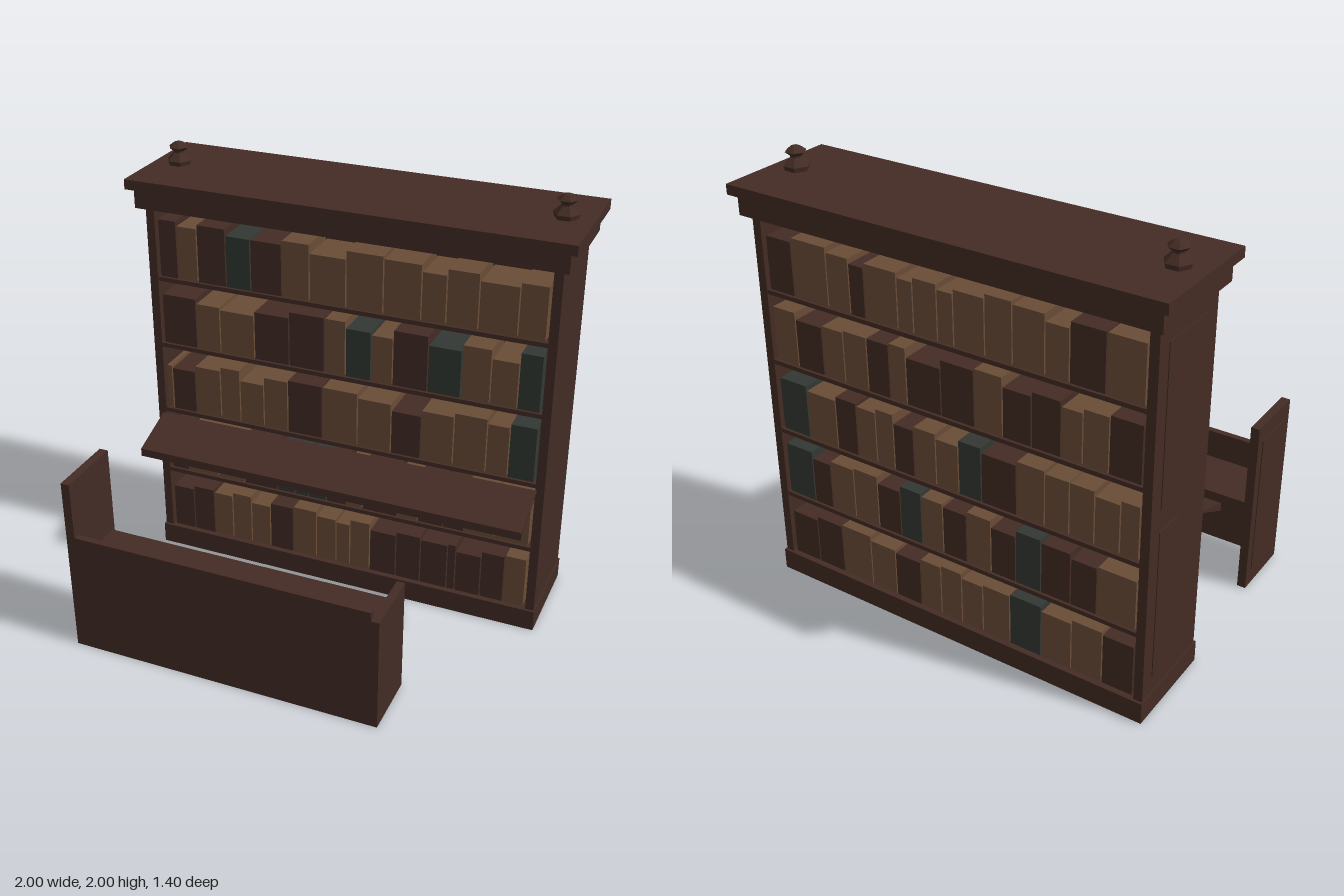
import * as THREE from 'three';

const material = (name, color) => {
  const m = new THREE.MeshStandardMaterial({ color });
  m.name = name;
  return m;
};

export function createModel() {
  const model = new THREE.Group();
  model.name = 'bookcaseAndDesk';
  const wood = material('dark wood', 0x432c24);
  const tan = material('tan book', 0x694c36);
  const green = material('green book', 0x323833);
  const bookColors = { d: wood, l: tan, g: green };

  // Box given by its limits on each axis
  const box = (parent, name, [x0, x1], [y0, y1], [z0, z1], mat = wood) => {
    const mesh = new THREE.Mesh(new THREE.BoxGeometry(x1 - x0, y1 - y0, z1 - z0), mat);
    mesh.position.set((x0 + x1) / 2, (y0 + y1) / 2, (z0 + z1) / 2);
    mesh.name = name;
    parent.add(mesh);
    return mesh;
  };

  // Bookcase, centred on its own middle plane
  const bookcase = new THREE.Group();
  bookcase.name = 'bookcase';
  bookcase.position.z = -0.412;
  model.add(bookcase);

  for (const s of [-1, 1]) {
    const span = (a, b) => (s > 0 ? [a, b] : [-b, -a]);
    box(bookcase, 'sidePanel', span(0.9, 0.94), [0.1, 1.76], [-0.22, 0.22]);
    box(bookcase, 'plinthSide', span(0.9, 0.945), [0, 0.1], [-0.232, 0.232]);
    box(bookcase, 'plinthRail', [-0.9, 0.9], [0, 0.1], span(0.2, 0.232));
  }
  box(bookcase, 'backboard', [-0.9, 0.9], [0.1, 1.76], [-0.01, 0.01]);
  box(bookcase, 'bottomBoard', [-0.9, 0.9], [0.08, 0.1], [-0.2, 0.2]);
  for (const y of [0.41, 0.74, 1.08, 1.41]) {
    box(bookcase, 'shelf', [-0.9, 0.9], [y, y + 0.02], [-0.218, 0.218]);
  }
  box(bookcase, 'crown', [-0.97, 0.97], [1.76, 1.85], [-0.26, 0.26]);
  box(bookcase, 'topBoard', [-1, 1], [1.85, 1.895], [-0.287, 0.287]);

  // Raised panels on the right side
  for (const [y0, y1] of [[0.18, 0.88], [0.98, 1.68]]) {
    box(bookcase, 'raisedPanel', [-0.944, -0.94], [y0, y1], [-0.15, 0.15]);
  }

  // Six-sided finials
  const profile = [[0.05, 1.89], [0.057, 1.915], [0.025, 1.948], [0.025, 1.955],
    [0.046, 1.973], [0.02, 1.993], [0, 2]].map(([r, y]) => new THREE.Vector2(r, y));
  const finialGeo = new THREE.LatheGeometry(profile, 6).toNonIndexed();
  finialGeo.computeVertexNormals();
  for (const x of [-0.88, 0.88]) {
    const finial = new THREE.Mesh(finialGeo, wood);
    finial.name = 'finial';
    finial.position.x = x;
    finial.rotation.y = Math.PI / 2;
    bookcase.add(finial);
  }

  // Books: colour letter, width and height in hundredths, from left to right
  const shelfTops = [1.43, 1.1, 0.76, 0.43, 0.1];
  const frontRows = [
    'd9:27 l10:25 d14:27 g12:24 d15:24 l13:26 l17:22 l17:26 l17:25 l11:22 l14:25 l17:22 l12:24',
    'd17:24 l12:22 l17:21 d17:23 d17:26 l10:26 g12:23 l10:22 d16:26 g15:22 l13:25 l12:21 g10:26',
    'l3:22 d12:21 l13:24 l10:26 l12:21 l12:25 d17:26 l17:26 l16:24 d14:21 l15:24 l15:26 l10:24 g12:26',
    'd9:23 l16:22 l14:24 d17:25 g9:22 g7:24 g9:23 d10:25 l8:22 d17:24 l10:22 d12:25 d10:23 l14:24 l16:23',
    'd11:22 d11:24 l10:23 l10:25 l10:22 d12:24 l12:25 l10:23 l7:22 l10:25 d13:22 d12:24 d13:23 d4:24 d12:21 d11:24 l10:25',
  ];
  const backRows = [
    'd14:24 l19:26 l12:24 d8:22 l17:24 l8:22 l12:24 l8:22 l15:24 l13:26 l15:25 l11:22 d16:25 l17:25',
    'l13:25 d15:22 l12:23 l13:24 d12:24 l9:25 d18:21 d17:25 l14:26 d14:22 d14:24 l10:22 l12:24 d15:25',
    'g16:25 l17:23 d12:25 l11:24 l10:26 d11:22 l12:24 l12:22 g12:25 d18:23 l14:25 l12:24 l12:24 l12:22 l9:24',
    'g16:25 d11:22 l14:24 l14:25 d13:22 g12:25 l12:24 d13:23 l13:25 d13:22 g13:25 d15:24 d13:22 l19:23',
    'd16:22 d16:24 l18:25 l15:23 d15:22 l12:24 l12:25 l12:23 l15:24 g17:25 l16:23 l16:25 d16:24',
  ];
  const addBooks = (rows, name, turn) => {
    const books = new THREE.Group();
    books.name = name;
    books.rotation.y = turn;
    bookcase.add(books);
    rows.forEach((row, i) => {
      const list = row.split(' ').map((t) => [t[0], ...t.slice(1).split(':').map(Number)]);
      const scale = 1.78 / list.reduce((sum, b) => sum + b[1], 0);
      let x = -0.89;
      for (const [color, w, h] of list) {
        const next = x + w * scale;
        box(books, 'book', [x, next - 0.006], [shelfTops[i], shelfTops[i] + h / 100],
          [0.01, 0.205], bookColors[color]);
        x = next;
      }
    });
  };
  addBooks(frontRows, 'frontBooks', 0);
  addBooks(backRows, 'backBooks', Math.PI);

  // Sloping wedge-shaped reading ledge
  const wedge = new THREE.Shape([[-0.18, 0.738], [-0.18, 0.734], [0.045, 0.62], [0.045, 0.658]]
    .map(([z, y]) => new THREE.Vector2(-z, y)));
  const ledge = new THREE.Mesh(
    new THREE.ExtrudeGeometry(wedge, { depth: 1.82, bevelEnabled: false }), wood);
  ledge.name = 'readingLedge';
  ledge.rotation.y = Math.PI / 2;
  ledge.position.x = -0.91;
  model.add(ledge);

  // Free-standing desk
  const desk = new THREE.Group();
  desk.name = 'desk';
  model.add(desk);
  box(desk, 'tallEndPanel', [-0.91, -0.87], [0, 0.84], [0.385, 0.7]);
  box(desk, 'tallEndRaisedPanel', [-0.914, -0.91], [0.08, 0.76], [0.43, 0.655]);
  box(desk, 'lowEndPanel', [0.49, 0.525], [0, 0.535], [0.405, 0.7]);
  box(desk, 'frontPanel', [-0.87, 0.49], [0, 0.575], [0.67, 0.7]);
  box(desk, 'deskShelf', [-0.87, 0.49], [0.41, 0.44], [0.405, 0.67]);

  return model;
}
